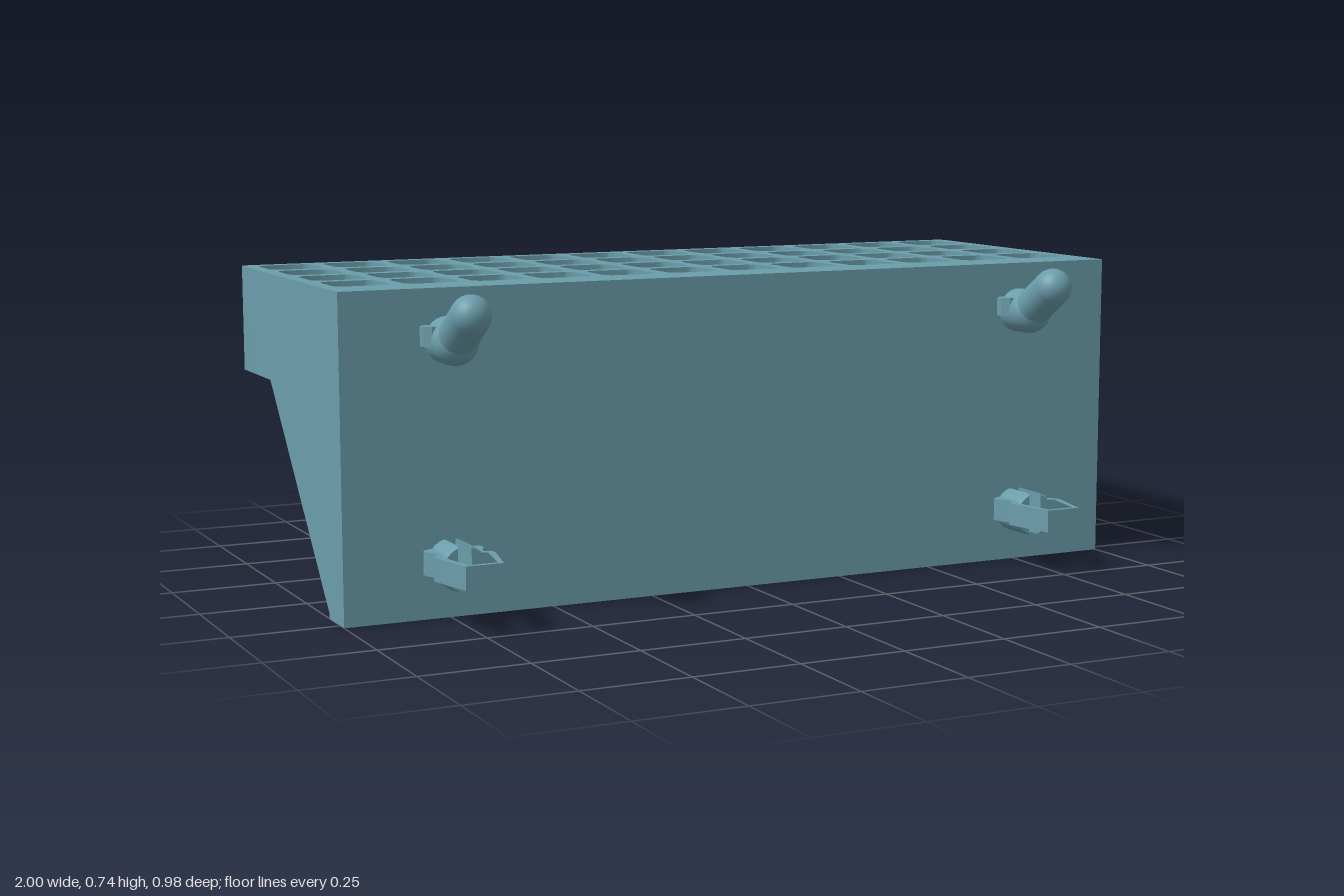
import * as THREE from 'three';
import { mergeGeometries, toCreasedNormals } from 'three/addons/utils/BufferGeometryUtils.js';

const TOP = 0.743, PITCH = 1.8 / 11, HALF = 0.0665, R = 0.026;
const COLS = Array.from({ length: 12 }, (_, i) => -0.9 + i * PITCH);
const ROWS = [0, 1, 2, 3].map(i => -0.395 + i * PITCH);
// underside profile, back to front: [z, y]
const UNDER = [[-0.49, 0.49], [-0.25, 0.49], [0.172, 0.012], [0.174, 0], [0.277, 0]];

const material = new THREE.MeshStandardMaterial({ color: 0x6b9dab });

function underside(z) {
  for (let i = 1; i < UNDER.length; i++) {
    const [z0, y0] = UNDER[i - 1], [z1, y1] = UNDER[i];
    if (z <= z1 + 1e-6) return y0 + (y1 - y0) * (z - z0) / (z1 - z0);
  }
  return 0;
}

// rounded square socket opening (plan coordinates: x, -z)
function socket(cx, cy) {
  const p = new THREE.Path(), h = HALF, c = h - R;
  p.absarc(cx + c, cy + c, R, 0, Math.PI / 2);
  p.absarc(cx - c, cy + c, R, Math.PI / 2, Math.PI);
  p.absarc(cx - c, cy - c, R, Math.PI, Math.PI * 1.5);
  p.absarc(cx + c, cy - c, R, Math.PI * 1.5, Math.PI * 2);
  p.closePath();
  return p;
}

// plan of one strip; 'near' may carry half sockets, 'far' may be rounded
function stripShape(near, far, notchRow, rows, round) {
  const s = new THREE.Shape(), dir = Math.sign(far - near);
  s.moveTo(-1, near);
  if (notchRow !== undefined) {
    const end = -notchRow + dir * HALF;
    for (const x of COLS) {
      const a = x - HALF, b = x + HALF;
      s.lineTo(a, near);
      s.lineTo(a, end - dir * R);
      s.quadraticCurveTo(a + R * 0.15, end - dir * R * 0.15, a + R, end);
      s.lineTo(b - R, end);
      s.quadraticCurveTo(b - R * 0.15, end - dir * R * 0.15, b, end - dir * R);
      s.lineTo(b, near);
    }
  }
  s.lineTo(1, near);
  s.lineTo(1, far - dir * round);
  if (round) s.quadraticCurveTo(1, far, 1 - round, far);
  else s.lineTo(1, far);
  s.lineTo(-1 + round, far);
  if (round) s.quadraticCurveTo(-1, far, -1, far - dir * round);
  s.closePath();
  for (const z of rows) for (const x of COLS) s.holes.push(socket(x, -z));
  return s;
}

// extrude upward, drop the lower face onto the underside and open the seams
function strip(shape) {
  let g = new THREE.ExtrudeGeometry(shape, { depth: TOP, bevelEnabled: false, curveSegments: 5 });
  g.rotateX(-Math.PI / 2);
  if (g.index) g = g.toNonIndexed();
  const p = g.attributes.position, out = [];
  const seams = UNDER.slice(1, -1).map(u => u[0]);
  for (let i = 0; i < p.count; i += 3) {
    const zs = [0, 1, 2].map(k => p.getZ(i + k));
    if (seams.some(s => zs.every(z => Math.abs(z - s) < 1e-5))) continue;
    for (let k = 0; k < 3; k++) {
      const y = p.getY(i + k);
      out.push(p.getX(i + k), y < 1e-4 ? underside(zs[k]) : y, zs[k]);
    }
  }
  const r = new THREE.BufferGeometry();
  r.setAttribute('position', new THREE.Float32BufferAttribute(out, 3));
  r.computeVertexNormals();
  return r;
}

function add(parent, name, geometry, x = 0, y = 0, z = 0) {
  const m = new THREE.Mesh(geometry, material);
  m.name = name;
  m.position.set(x, y, z);
  parent.add(m);
  return m;
}

// flat plate in x/z, centred on y = 0
function plate(points, height, hole) {
  const toV = ([x, z]) => new THREE.Vector2(x, -z);
  const s = new THREE.Shape(points.map(toV));
  if (hole) s.holes.push(new THREE.Path(hole.map(toV)));
  const g = new THREE.ExtrudeGeometry(s, { depth: height, bevelEnabled: false });
  return g.rotateX(-Math.PI / 2).translate(0, -height / 2, 0);
}

// mirror a right-hand outline across x = 0
const mirrored = pts => [...pts, ...pts.map(([x, z]) => [-x, z]).reverse()];

function upperHook() {
  const hook = new THREE.Group();
  hook.name = 'upperHook';
  const elbow = new THREE.Vector3(0, 0, 0.328), tip = new THREE.Vector3(0, 0.067, 0.427);
  const neck = new THREE.CylinderGeometry(0.053, 0.053, 0.058, 28).rotateX(Math.PI / 2);
  add(hook, 'hookNeck', neck, 0, 0, 0.299);
  add(hook, 'hookElbow', new THREE.SphereGeometry(0.053, 28, 18)).position.copy(elbow);
  const arm = add(hook, 'hookArm', new THREE.CapsuleGeometry(0.046, elbow.distanceTo(tip), 10, 28));
  arm.position.copy(elbow).lerp(tip, 0.5);
  arm.quaternion.setFromUnitVectors(new THREE.Vector3(0, 1, 0), tip.clone().sub(elbow).normalize());
  // side ridges that grip the mounting hole
  const ridge = mirrored([[0.05, 0.274], [0.067, 0.287], [0.067, 0.305], [0.05, 0.32]]);
  add(hook, 'hookRidges', plate(ridge, 0.045), 0, 0.012, 0);
  return hook;
}

function lowerClip() {
  const clip = new THREE.Group();
  clip.name = 'lowerClip';
  // split round plug
  const a = Math.acos(0.016 / 0.05);
  const half = new THREE.Shape().absarc(0, 0, 0.05, -a, a);
  half.closePath();
  for (const side of [0, Math.PI]) {
    const g = new THREE.ExtrudeGeometry(half, {
      depth: 0.08, curveSegments: 16, bevelThickness: 0.012, bevelSize: 0.004, bevelSegments: 1,
    });
    add(clip, 'plugHalf', toCreasedNormals(g, 0.5).rotateZ(side), 0, 0, 0.278);
  }
  // springy loop at the end of the plug
  const outer = mirrored([[0.045, 0.277], [0.068, 0.29], [0.068, 0.31], [0.05, 0.345],
    [0.07, 0.362], [0.07, 0.378], [0.044, 0.492]]);
  const inner = mirrored([[0.016, 0.3], [0.02, 0.345], [0.055, 0.372], [0.034, 0.48]]);
  add(clip, 'springLoop', plate(outer, 0.054, inner), 0, 0.006, 0);
  return clip;
}

export function createModel() {
  const model = new THREE.Group();
  model.name = 'socketHolder';

  // socket block, made of strips between the breaks of its underside
  const [z0, z1, z2, z3, z4] = UNDER.map(u => u[0]);
  const block = mergeGeometries([
    strip(stripShape(-z1, -z0, ROWS[1], [ROWS[0]], 0.025)),
    strip(stripShape(-z1, -z2, ROWS[1], [ROWS[2], ROWS[3]], 0)),
    strip(stripShape(-z2, -z3, undefined, [], 0)),
    strip(stripShape(-z3, -z4, undefined, [], 0)),
  ]);
  add(model, 'socketBlock', toCreasedNormals(block, 0.5));

  // wall mounts on the front face
  for (const x of [-0.75, 0.75]) {
    const hook = upperHook(), clip = lowerClip();
    hook.position.set(x, 0.627, 0);
    clip.position.set(x, 0.127, 0);
    model.add(hook, clip);
  }
  return model;
}
